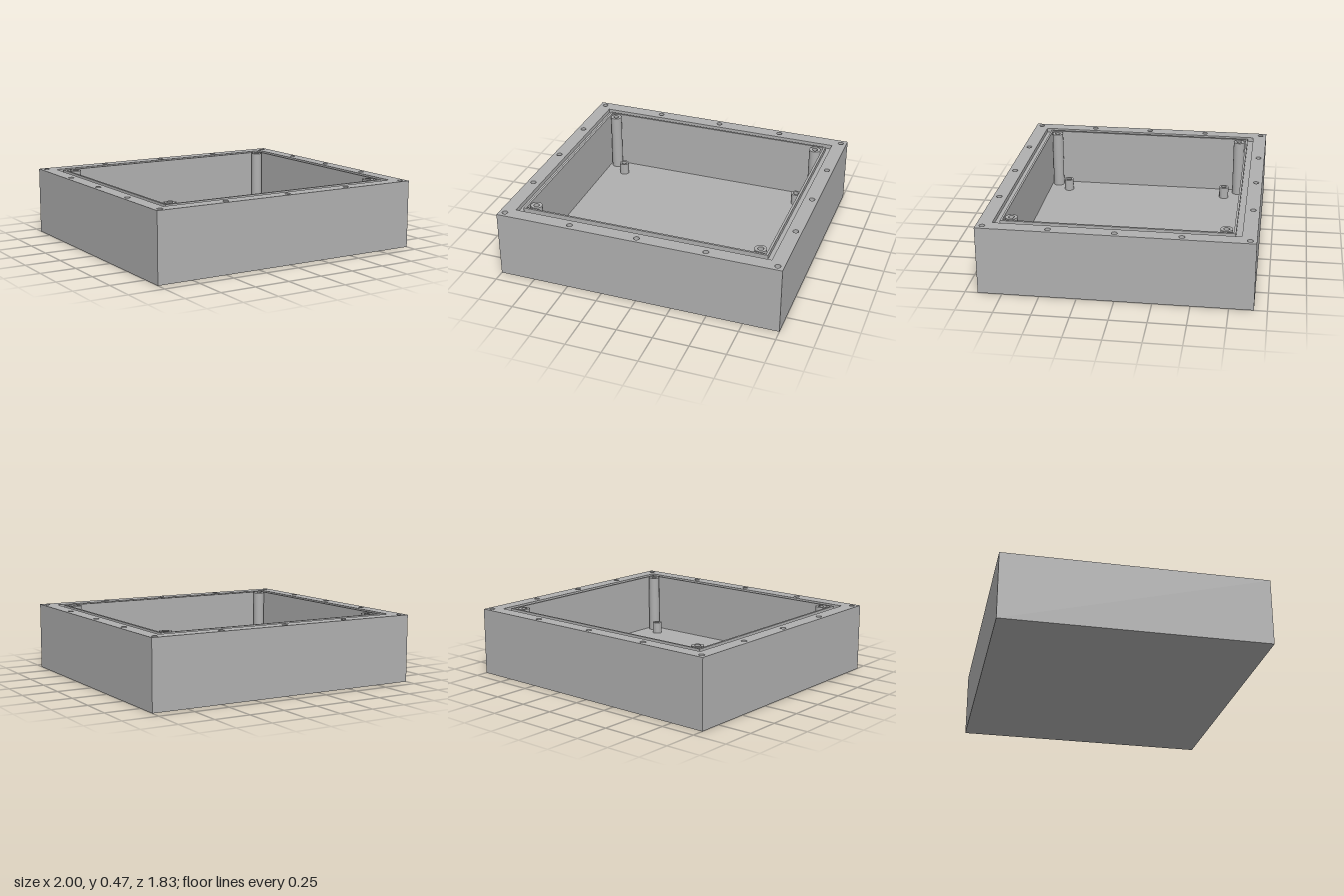
import * as THREE from 'three';
import { toCreasedNormals } from 'three/addons/utils/BufferGeometryUtils.js';

const TOP = 0.474, FLOOR = 0.05, GROOVE = 0.444;
const HALF_X = 1, HALF_Z = 0.913;

export function createModel() {
  const model = new THREE.Group();
  const grey = new THREE.MeshStandardMaterial({ color: 0xb0b0b0 });
  grey.name = 'plain grey';

  const add = (name, geometry, x = 0, y = 0, z = 0) => {
    const mesh = new THREE.Mesh(geometry, grey);
    mesh.name = name;
    mesh.position.set(x, y, z);
    model.add(mesh);
  };

  // Rectangle seen from above, counter-clockwise; plan y is -z
  const rect = (hx, hz) => [[-hx, -hz], [hx, -hz], [hx, hz], [-hx, hz]].map(([x, y]) => new THREE.Vector2(x, y));

  // Flat upward face, optionally pierced
  const face = (name, outline, y, holes = []) => {
    const shape = new THREE.Shape(outline);
    shape.holes = holes;
    add(name, new THREE.ShapeGeometry(shape, 6).rotateX(-Math.PI / 2), 0, y, 0);
  };

  // Upright walls around a rectangle, facing outward or inward
  const walls = (name, outline, y0, y1, inward = false) => {
    const pts = inward ? [...outline].reverse() : outline;
    const pos = [];
    pts.forEach((a, i) => {
      const b = pts[(i + 1) % pts.length];
      const corner = (p, y) => [p.x, y, -p.y];
      pos.push(...corner(a, y0), ...corner(b, y0), ...corner(b, y1));
      pos.push(...corner(a, y0), ...corner(b, y1), ...corner(a, y1));
    });
    const geometry = new THREE.BufferGeometry();
    geometry.setAttribute('position', new THREE.Float32BufferAttribute(pos, 3));
    geometry.computeVertexNormals();
    add(name, geometry);
  };

  const turned = (profile) => toCreasedNormals(
    new THREE.LatheGeometry(profile.map(([r, y]) => new THREE.Vector2(r, y)), 24), 0.6);

  const outer = rect(HALF_X, HALF_Z);
  const grooveOuter = rect(0.902, 0.815);
  const grooveInner = rect(0.865, 0.774);
  const cavity = rect(0.849, 0.76);

  // Screw holes round the rim: five along front and back, three more on each side
  const screws = [];
  for (const s of [-1, 1]) {
    for (const x of [-0.957, -0.479, 0, 0.479, 0.957]) screws.push([x, s * 0.87]);
    for (const z of [-0.435, 0, 0.435]) screws.push([s * 0.957, z]);
  }
  const screwPaths = screws.map(([x, z]) => new THREE.Path().absarc(x, -z, 0.02, 0, Math.PI * 2, true));
  const screwHole = turned([[0.02, 0], [0.02, -0.1], [0, -0.1]]);
  screws.forEach(([x, z]) => add('screwHole', screwHole, x, TOP, z));

  // Enclosure shell
  add('underside', new THREE.PlaneGeometry(2 * HALF_X, 2 * HALF_Z).rotateX(Math.PI / 2));
  walls('outerWalls', outer, 0, TOP);
  walls('innerWalls', cavity, FLOOR, TOP, true);
  face('floor', cavity, FLOOR);

  // Rim with seal groove and inner lip
  face('rim', outer, TOP, [new THREE.Path(grooveOuter), ...screwPaths]);
  walls('grooveOuterWall', grooveOuter, GROOVE, TOP, true);
  face('grooveBed', grooveOuter, GROOVE, [new THREE.Path(grooveInner)]);
  walls('grooveInnerWall', grooveInner, GROOVE, TOP);
  face('lip', grooveInner, TOP, [new THREE.Path(cavity)]);

  // Hollow mounting posts
  const post = (radius, bore, top, depth) => turned([
    [radius, FLOOR], [radius, top], [bore, top], [bore, top - depth], [0, top - depth],
  ]);
  const lidPost = post(0.041, 0.02, TOP, 0.1);
  const boardPost = post(0.035, 0.02, 0.135, 0.08);
  for (const sx of [-1, 1]) {
    for (const sz of [-1, 1]) {
      add('lidPost', lidPost, sx * 0.798, 0, sz * 0.711);
      // One board post sits slightly out of line
      add('boardPost', boardPost, sx * 0.698, 0, sx > 0 && sz > 0 ? 0.63 : sz * 0.61);
    }
  }
  return model;
}
